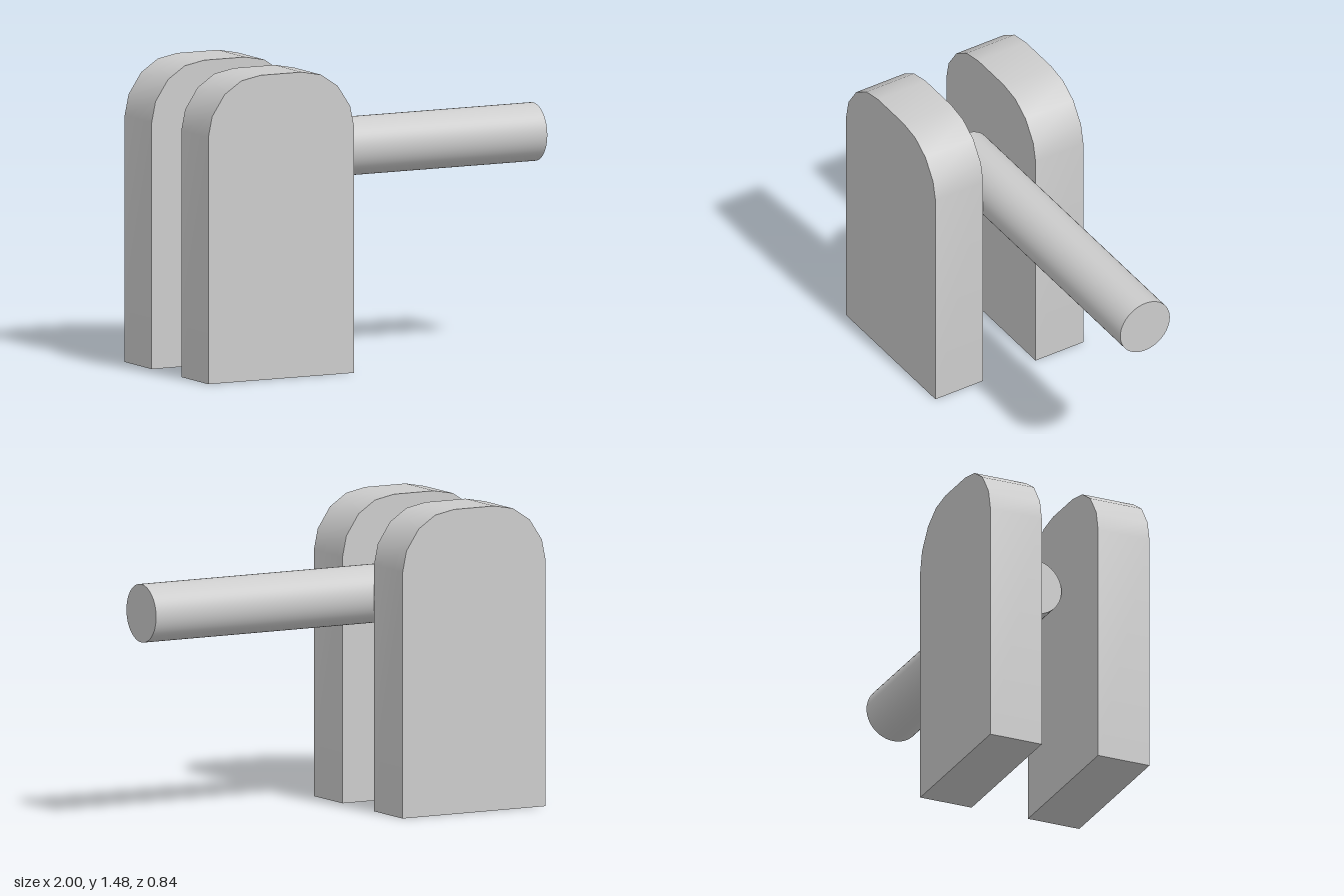
import * as THREE from 'three';
import { toCreasedNormals } from 'three/addons/utils/BufferGeometryUtils.js';

export function createModel() {
  const group = new THREE.Group();
  const material = new THREE.MeshStandardMaterial({ color: 0xcccccc });

  // Half outline of a cheek plate: straight side, then a faceted shoulder
  const half = [[0.397, 0], [0.397, 1.195], [0.376, 1.295], [0.308, 1.397], [0.217, 1.457], [0.112, 1.477]];
  const outline = [...half, ...half.map(([x, y]) => [-x, y]).reverse()];
  const shape = new THREE.Shape(outline.map(([x, y]) => new THREE.Vector2(x, y)));
  const thickness = 0.272;
  const plateGeometry = toCreasedNormals(
    new THREE.ExtrudeGeometry(shape, { depth: thickness, bevelEnabled: false }).translate(0, 0, -thickness / 2),
    0.6
  );

  // Two matching plates with a gap between them
  for (const [name, side] of [['frontPlate', 1], ['backPlate', -1]]) {
    const plate = new THREE.Mesh(plateGeometry, material);
    plate.name = name;
    plate.position.set(-0.603, 0, side * 0.285);
    group.add(plate);
  }

  // Round rod that starts midway between the plates and reaches out to +x
  const rod = new THREE.Mesh(new THREE.CylinderGeometry(0.141, 0.141, 1.603, 48).rotateZ(-Math.PI / 2), material);
  rod.name = 'rod';
  rod.position.set(0.1985, 1.032, 0);
  group.add(rod);

  return group;
}
